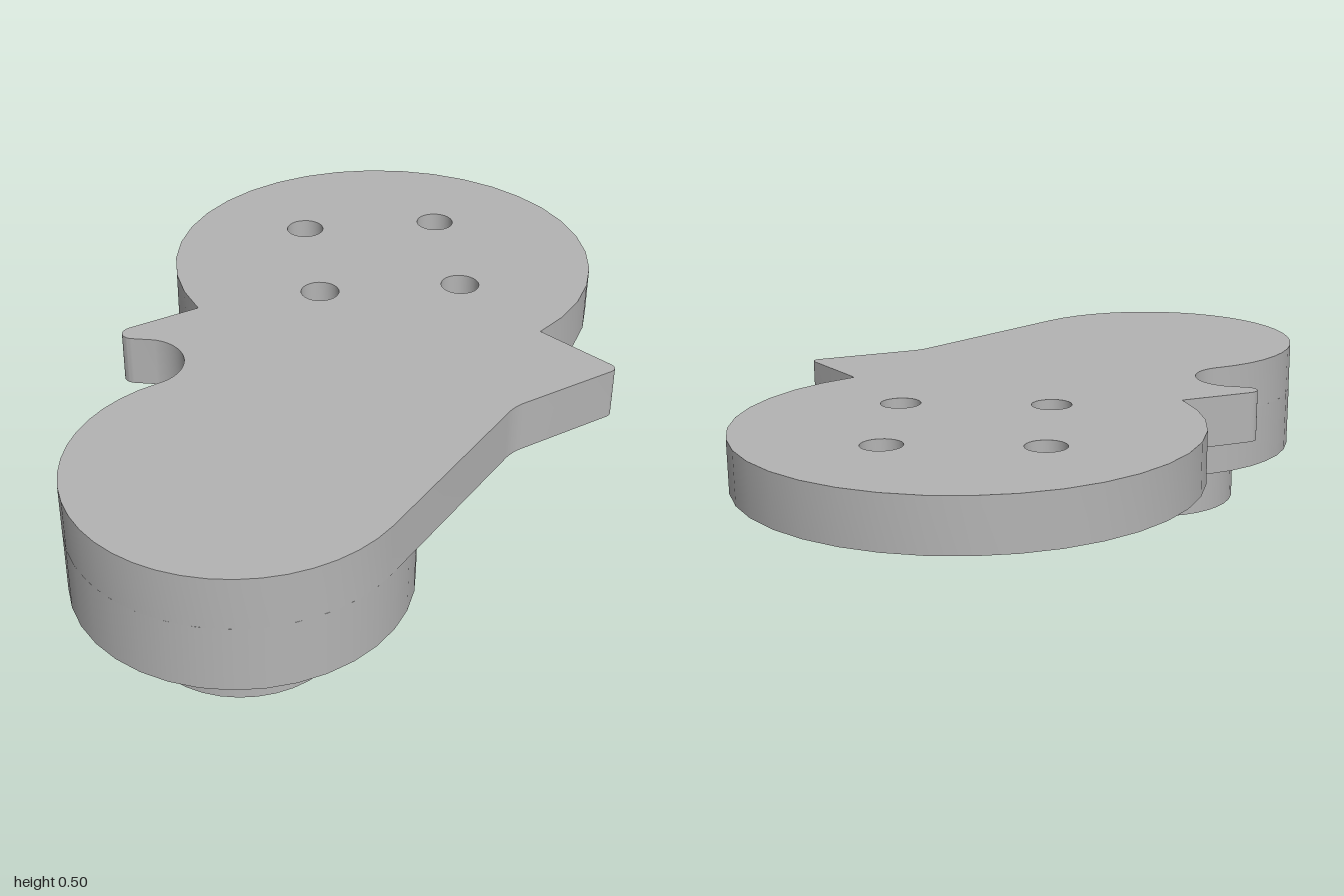
import * as THREE from 'three';
import { toCreasedNormals } from 'three/addons/utils/BufferGeometryUtils.js';

const rad = THREE.MathUtils.degToRad;
const BOSS = { x: -0.57, z: 0.3825, r: 0.43 };

export function createModel() {
  const group = new THREE.Group();
  const grey = new THREE.MeshStandardMaterial({ color: 0xb4b4b4 });
  grey.name = 'grey metal';

  const add = (name, geometry) => {
    const mesh = new THREE.Mesh(geometry, grey);
    mesh.name = name;
    group.add(mesh);
    return mesh;
  };

  // Plate outline, drawn with shape y = -z
  const s = new THREE.Shape();
  s.moveTo(-0.2, 0.3);
  s.absarc(0.395, 0.21, 0.604, rad(171.4), rad(-85.7), true); // large round end
  s.lineTo(0.46, -0.63); // front lug
  s.quadraticCurveTo(0.46, -0.656, 0.435, -0.655);
  s.lineTo(0.15, -0.619);
  s.quadraticCurveTo(0.115, -0.615, 0.08, -0.628);
  s.absarc(BOSS.x, -BOSS.z, BOSS.r, rad(-73), rad(-278), true); // small round end
  s.absarc(-0.493, 0.162, 0.12, rad(-98), rad(35), false); // notch
  s.lineTo(-0.44, 0.277); // back lug
  s.bezierCurveTo(-0.46, 0.3, -0.445, 0.333, -0.41, 0.329);
  s.closePath();

  // Bolt holes
  for (const [x, z] of [[0.335, -0.495], [0.67, -0.28], [0.12, -0.16], [0.455, 0.06]]) {
    const hole = new THREE.Path();
    hole.absarc(x, -z, 0.054, 0, Math.PI * 2, false);
    s.holes.push(hole);
  }

  const plate = new THREE.ExtrudeGeometry(s, { depth: 0.14, bevelEnabled: false, curveSegments: 13 });
  plate.rotateX(-Math.PI / 2);
  plate.translate(0, 0.36, 0);
  add('plate', toCreasedNormals(plate, rad(35)));

  // Stepped boss under the small end
  const disc = (name, r, y0, y1) => {
    const mesh = add(name, new THREE.CylinderGeometry(r, r, y1 - y0, 36));
    mesh.position.set(BOSS.x, (y0 + y1) / 2, BOSS.z);
  };
  disc('boss', BOSS.r, 0.18, 0.36);
  disc('foot', 0.262, 0, 0.18);

  return group;
}
